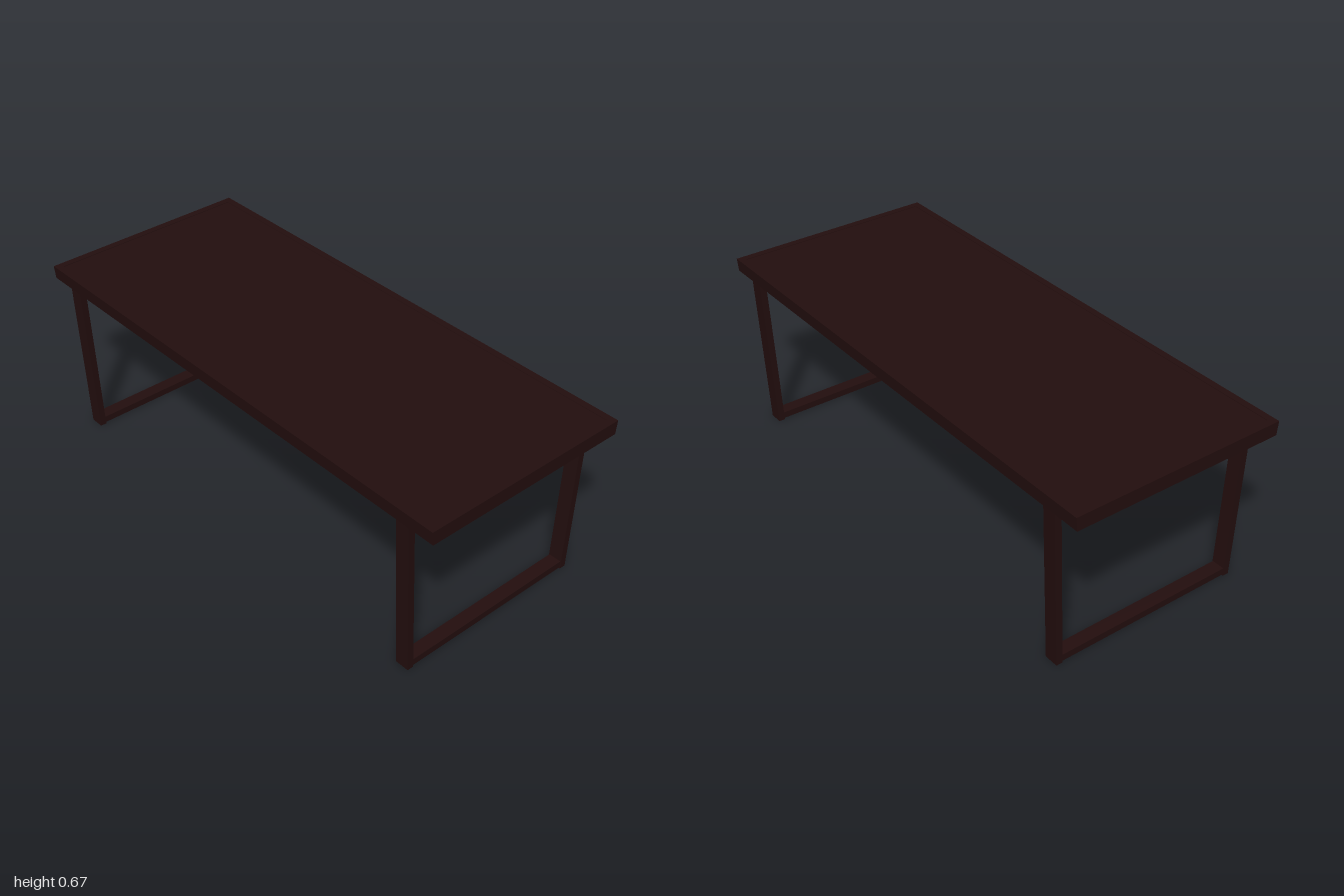
import * as THREE from 'three';

const TOP = 0.67, RIM_H = 0.052, HALF_X = 1, HALF_Z = 0.415, RIM_W = 0.026;
const LEG_X = 0.87, LEG_W = 0.054, LEG_TOP = 0.64;

export function createModel() {
  const table = new THREE.Group();
  table.name = 'table';
  const wood = new THREE.MeshStandardMaterial({ color: 0x230e0e });
  wood.name = 'dark brown';

  const add = (parent, name, geometry, x = 0, y = 0, z = 0) => {
    const mesh = new THREE.Mesh(geometry, wood);
    mesh.name = name;
    mesh.position.set(x, y, z);
    parent.add(mesh);
    return mesh;
  };
  const rectangle = (path, hx, hz) => path
    .moveTo(-hx, -hz).lineTo(hx, -hz).lineTo(hx, hz).lineTo(-hx, hz).closePath();

  // Hollow rim, whose long sides lean in slightly towards the bottom
  const outline = new THREE.Shape();
  rectangle(outline, HALF_X, HALF_Z);
  const opening = new THREE.Path();
  rectangle(opening, HALF_X - RIM_W, HALF_Z - RIM_W);
  outline.holes.push(opening);
  const rim = new THREE.ExtrudeGeometry(outline, { depth: RIM_H, bevelEnabled: false });
  rim.rotateX(-Math.PI / 2);
  const p = rim.attributes.position;
  for (let i = 0; i < p.count; i++) {
    p.setZ(i, p.getZ(i) * (1 - (RIM_H - p.getY(i)) * 0.24));
  }
  rim.computeVertexNormals();
  add(table, 'tabletopRim', rim, 0, TOP - RIM_H, 0);

  // Panel set just below the rim, with a long rail under its middle
  add(table, 'tabletopPanel',
    new THREE.BoxGeometry(2 * (HALF_X - RIM_W) + 0.01, 0.016, 2 * (HALF_Z - RIM_W) + 0.01),
    0, TOP - 0.01, 0);
  add(table, 'centreRail',
    new THREE.BoxGeometry(2 * (HALF_X - RIM_W), 0.014, 0.02), 0, TOP - 0.025, 0);

  // Leaning leg: a bar swept up from its foot section
  const legGeometry = (side) => {
    const profile = new THREE.Shape([
      [0.355, 0], [0.38, 0], [0.41, LEG_TOP], [0.384, LEG_TOP],
    ].map(([z, y]) => new THREE.Vector2(-z * side, y)));
    const g = new THREE.ExtrudeGeometry(profile, { depth: LEG_W, bevelEnabled: false });
    g.translate(0, 0, -LEG_W / 2);
    return g.rotateY(Math.PI / 2);
  };

  for (const end of [-1, 1]) {
    const frame = new THREE.Group();
    frame.name = end > 0 ? 'leftLegFrame' : 'rightLegFrame';
    frame.position.x = end * LEG_X;
    table.add(frame);
    for (const side of [-1, 1]) {
      add(frame, side > 0 ? 'frontLeg' : 'backLeg', legGeometry(side));
      // Two small bolts on the inner face of the leg
      for (const [y, z] of [[0.57, 0.382], [0.6, 0.383]]) {
        add(frame, 'bolt', new THREE.CylinderGeometry(0.006, 0.006, 0.008, 12), 0, y, side * z)
          .rotation.x = Math.PI / 2;
      }
    }
    add(frame, 'footBar', new THREE.BoxGeometry(LEG_W - 0.004, 0.026, 0.714), 0, 0.018, 0);
  }
  return table;
}
